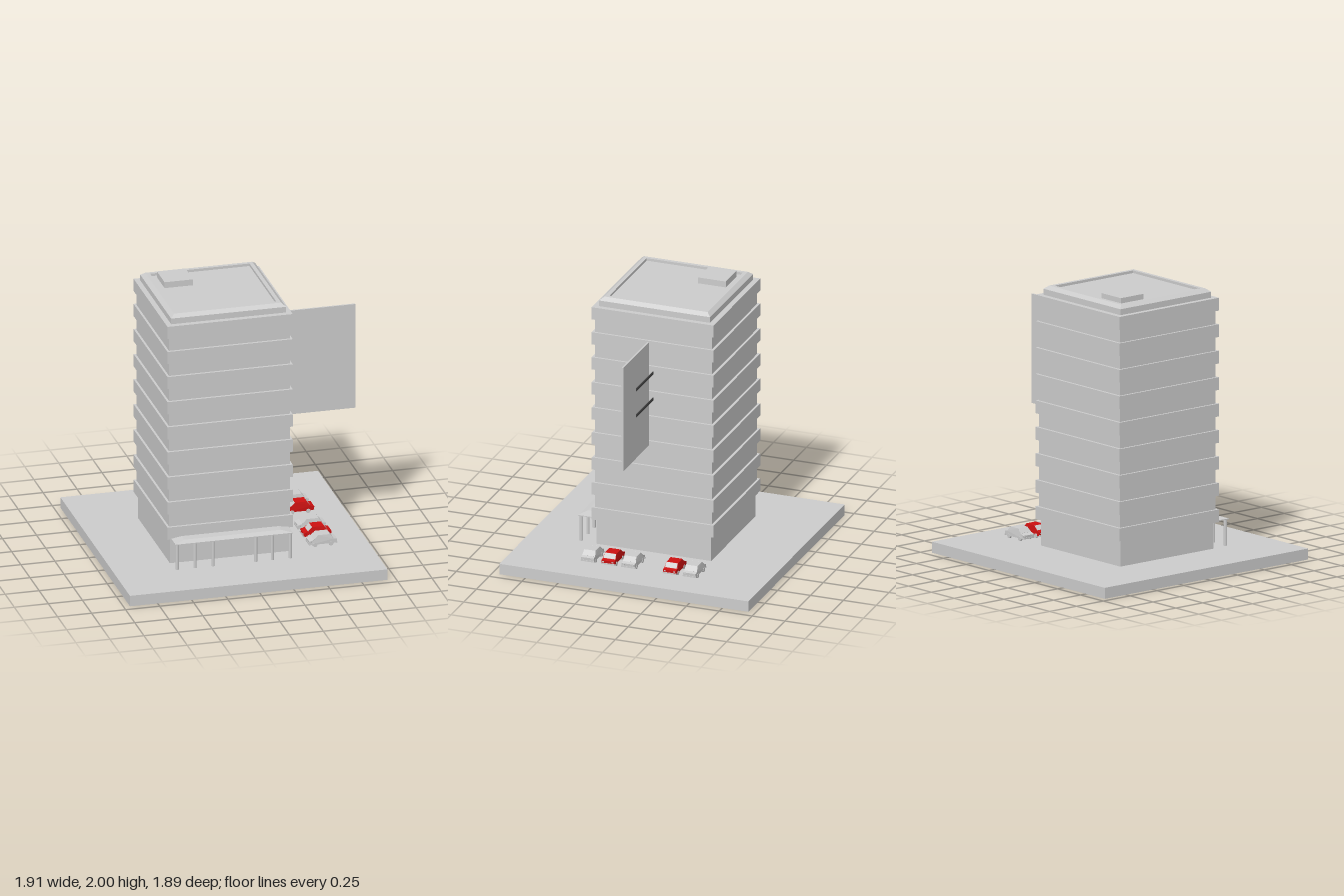
import * as THREE from 'three';

const mat = (color) => new THREE.MeshStandardMaterial({ color, flatShading: true });
const grey = mat(0xcccccc);
const red = mat(0xcc1111);
const dark = mat(0x444444);

function add(parent, name, geometry, material = grey) {
  const mesh = new THREE.Mesh(geometry, material);
  mesh.name = name;
  parent.add(mesh);
  return mesh;
}

// Box given by its limits on each axis
function block(x0, x1, y0, y1, z0, z1) {
  return new THREE.BoxGeometry(x1 - x0, y1 - y0, z1 - z0)
    .translate((x0 + x1) / 2, (y0 + y1) / 2, (z0 + z1) / 2);
}

// Square ring or solid from [half width, height] points
function squareLathe(points) {
  const profile = points.map(([h, y]) => new THREE.Vector2(h * Math.SQRT2, y));
  return new THREE.LatheGeometry(profile, 4, Math.PI / 4);
}

function createTower() {
  const tower = new THREE.Group();
  tower.name = 'tower';
  tower.position.x = -0.0875;
  add(tower, 'groundFloor', block(-0.435, 0.435, 0.08, 0.28, -0.435, 0.435));
  add(tower, 'core', block(-0.444, 0.444, 0.275, 1.9, -0.444, 0.444));
  for (let i = 0; i < 9; i++) {
    const y = 0.273 + i * 0.1926;
    add(tower, 'floorBand', block(-0.46, 0.46, y, y + 0.093, -0.463, 0.463));
  }
  // Parapet with chamfered rim around a sunken roof
  add(tower, 'parapet', squareLathe([
    [0.422, 1.9], [0.422, 1.95], [0.393, 1.974], [0.365, 1.974], [0.365, 1.955], [0, 1.955],
  ]));
  add(tower, 'roofHousing', block(-0.323, -0.113, 1.95, 2, -0.335, -0.125));
  return tower;
}

function createCanopy() {
  const canopy = new THREE.Group();
  canopy.name = 'canopy';
  add(canopy, 'canopySlab', block(-0.52, 0.342, 0.272, 0.278, 0.43, 0.578));
  // Hipped top: the upper corners are drawn in at the sides and front
  const top = block(-0.52, 0.342, 0.278, 0.291, 0.43, 0.578);
  const p = top.attributes.position;
  for (let i = 0; i < p.count; i++) {
    if (p.getY(i) < 0.285) continue;
    p.setX(i, p.getX(i) - Math.sign(p.getX(i)) * 0.075);
    if (p.getZ(i) > 0.5) p.setZ(i, 0.533);
  }
  add(canopy, 'canopyTop', top);
  for (const x of [-0.502, -0.373, -0.24, 0.074, 0.196, 0.328]) {
    add(canopy, 'column', new THREE.CylinderGeometry(0.0115, 0.0115, 0.195, 12))
      .position.set(x, 0.176, 0.56);
  }
  return canopy;
}

function createSign() {
  const sign = new THREE.Group();
  sign.name = 'sign';
  add(sign, 'signPanel', block(0.449, 0.954, 0.945, 1.74, -0.003, 0.01));
  for (const y of [1.272, 1.472]) {
    const arm = new THREE.CylinderGeometry(0.0125, 0.0125, 0.37, 12)
      .rotateZ(Math.PI / 2).scale(1, 1, 0.45);
    add(sign, 'signArm', arm, dark).position.set(0.522, y, -0.003);
  }
  return sign;
}

function createCar(paint) {
  const car = new THREE.Group();
  car.name = 'car';
  const half = 0.049;
  // Side profile, swept across the width
  const outline = [
    [-0.1, 0.018], [0.1, 0.018], [0.102, 0.046], [0.076, 0.052],
    [0.05, 0.086], [-0.037, 0.086], [-0.07, 0.054], [-0.102, 0.044],
  ];
  const shape = new THREE.Shape(outline.map(([x, y]) => new THREE.Vector2(x, y)));
  const body = new THREE.ExtrudeGeometry(shape, { depth: 2 * half, bevelEnabled: false })
    .translate(0, 0, -half);
  const p = body.attributes.position;
  for (let i = 0; i < p.count; i++) {
    if (p.getY(i) > 0.08) p.setZ(i, p.getZ(i) * 0.88);
  }
  add(car, 'carBody', body, paint);

  // Windscreen and rear window lie on the sloping faces
  for (const [name, x0, y0, x1, y1] of [
    ['windscreen', -0.07, 0.054, -0.037, 0.086],
    ['rearWindow', 0.05, 0.086, 0.076, 0.052],
  ]) {
    const length = Math.hypot(x1 - x0, y1 - y0);
    const pane = add(car, name, new THREE.BoxGeometry(length * 0.92, 0.002, half * 1.76));
    pane.position.set((x0 + x1) / 2, (y0 + y1) / 2, 0);
    pane.rotation.z = Math.atan2(y1 - y0, x1 - x0);
  }
  for (const side of [-1, 1]) {
    const bumper = add(car, 'bumper', new THREE.BoxGeometry(0.008, 0.01, 0.103));
    bumper.position.set(side * 0.1, 0.022, 0);
    for (const z of [-1, 1]) {
      add(car, 'lamp', new THREE.BoxGeometry(0.003, 0.008, 0.014))
        .position.set(side * 0.102, 0.037, z * 0.036);
    }
  }
  for (const x of [-0.06, 0.058]) {
    for (const z of [-1, 1]) {
      const wheel = new THREE.CylinderGeometry(0.016, 0.016, 0.014, 14).rotateX(Math.PI / 2);
      add(car, 'wheel', wheel).position.set(x, 0.016, z * 0.0445);
    }
  }
  return car;
}

export function createModel() {
  const model = new THREE.Group();
  model.name = 'officeTower';
  add(model, 'ground', block(-0.954, 0.938, 0, 0.08, -0.947, 0.947));
  model.add(createTower(), createCanopy(), createSign());

  // Row of parked cars, alternating grey and red
  [[0.365, grey], [0.208, red], [0.055, grey], [-0.26, red], [-0.41, grey]]
    .forEach(([z, paint]) => {
      const car = createCar(paint);
      car.position.set(0.61, 0.08, z);
      model.add(car);
    });
  return model;
}
